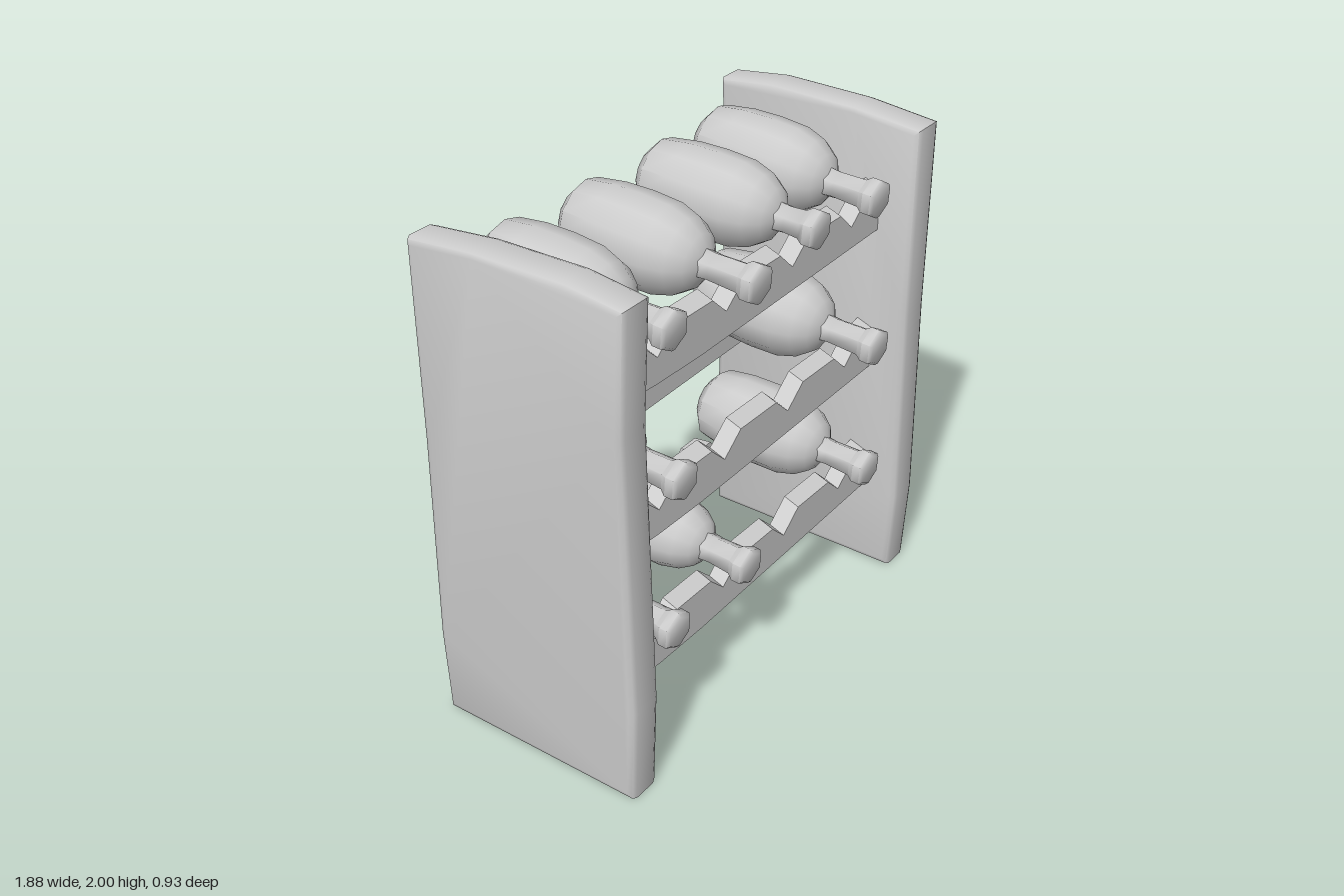
import * as THREE from 'three';
import { toCreasedNormals } from 'three/addons/utils/BufferGeometryUtils.js';

const material = new THREE.MeshStandardMaterial({ color: 0xcccccc });
const v2 = (pts) => pts.map(([x, y]) => new THREE.Vector2(x, y));

function mesh(name, geometry, crease = 0.7) {
  const m = new THREE.Mesh(toCreasedNormals(geometry, crease), material);
  m.name = name;
  return m;
}

// Side panel: slightly bowed outline in z-y, with chamfered edges
function sidePanel(name) {
  const outline = new THREE.Shape(v2([
    [-0.43, 0], [0.44, 0], [0.46, 0.35], [0.45, 1.2], [0.455, 1.965],
    [0.17, 1.995], [-0.2, 2], [-0.435, 1.97], [-0.415, 1.5], [-0.445, 0.4],
  ]));
  const g = new THREE.ExtrudeGeometry(outline, {
    depth: 0.095, bevelThickness: 0.025, bevelSize: 0.025, bevelOffset: -0.025, bevelSegments: 2,
  });
  g.translate(0, 0, -0.0475).rotateY(-Math.PI / 2);
  return mesh(name, g, 0.8);
}

// Rail with a notch per bottle; its top edge slopes by `slope` towards the outside
function rail(name, y, notch, z, depth, slope) {
  const pts = [[-0.81, y - 0.2], [-0.6, y - 0.215], [-0.35, y - 0.22], [0.81, y - 0.2], [0.81, y]];
  for (const x of [0.6, 0.2, -0.21, -0.6]) {
    for (const [dx, dy] of notch) pts.push([x + dx, y - dy]);
  }
  pts.push([-0.81, y]);
  const g = new THREE.ExtrudeGeometry(new THREE.Shape(v2(pts)), { depth, bevelEnabled: false });
  g.translate(0, 0, -depth / 2);
  const p = g.attributes.position;
  for (let i = 0; i < p.count; i++) {
    if (p.getY(i) > y - 0.18 && p.getZ(i) * z > 0) p.setY(i, p.getY(i) - slope);
  }
  g.translate(0, 0, z);
  return mesh(name, g, 0.3);
}

// Bottle lying from its base point to the tip of its neck
function bottle(name, base, tip, r) {
  const from = new THREE.Vector3(...base);
  const axis = new THREE.Vector3(...tip).sub(from);
  const L = axis.length();
  const body = new THREE.LatheGeometry(v2([
    [0, 0], [0.55 * r, 0], [0.86 * r, 0.045], [0.97 * r, 0.16], [r, 0.28],
    [0.97 * r, 0.4], [0.83 * r, 0.48], [0.6 * r, 0.535], [0.3 * r, 0.565], [0, 0.57],
  ]), 12);
  const neck = new THREE.LatheGeometry(v2([
    [0.062, 0.53], [0.055, 0.6], [0.06, L - 0.07], [0.078, L - 0.045], [0.078, L - 0.012], [0.065, L], [0, L],
  ]), 6);
  const group = new THREE.Group();
  group.name = name;
  for (const [part, g] of [['bottleBody', body], ['bottleNeck', neck]]) {
    g.rotateX(Math.PI / 2);
    group.add(mesh(part, g, part === 'bottleBody' ? 0.75 : 1.1));
  }
  group.position.copy(from);
  group.quaternion.setFromUnitVectors(new THREE.Vector3(0, 0, 1), axis.normalize());
  return group;
}

export function createModel() {
  const rack = new THREE.Group();
  rack.name = 'bottleRack';

  const left = sidePanel('leftPanel');
  left.position.x = 0.868;
  const right = sidePanel('rightPanel');
  right.position.x = -0.872;
  right.rotation.y = Math.PI;
  rack.add(left, right);

  // Narrow notches carry the necks, wide ones the bodies
  const neckNotch = [[0.1, 0.012], [0, 0.09], [-0.08, 0.015]];
  const bodyNotch = [[0.15, 0.01], [0.075, 0.125], [-0.075, 0.125], [-0.15, 0.01]];
  for (const y of [0.56, 1.13, 1.73]) {
    rack.add(rail('frontRail', y, neckNotch, 0.27, 0.065, 0.025));
    rack.add(rail('backRail', y, bodyNotch, -0.265, 0.08, 0.01));
  }

  // [base x, neck x, neck y, base z, tip z, radius]
  const bottles = [
    [-0.615, -0.615, 1.745, -0.37, 0.39, 0.17],
    [-0.2, -0.185, 1.74, -0.36, 0.43, 0.172],
    [0.225, 0.265, 1.75, -0.35, 0.38, 0.168],
    [0.615, 0.62, 1.745, -0.37, 0.41, 0.17],
    [-0.59, -0.585, 1.16, -0.37, 0.41, 0.175],
    [0.57, 0.58, 1.16, -0.33, 0.465, 0.178],
    [-0.61, -0.615, 0.54, -0.4, 0.4, 0.172],
    [-0.17, -0.165, 0.55, -0.36, 0.4, 0.153],
    [0.605, 0.61, 0.585, -0.34, 0.44, 0.172],
  ];
  for (const [bx, nx, y, bz, nz, r] of bottles) {
    rack.add(bottle('bottle', [bx, y + 0.055, bz], [nx, y, nz], r));
  }
  return rack;
}
